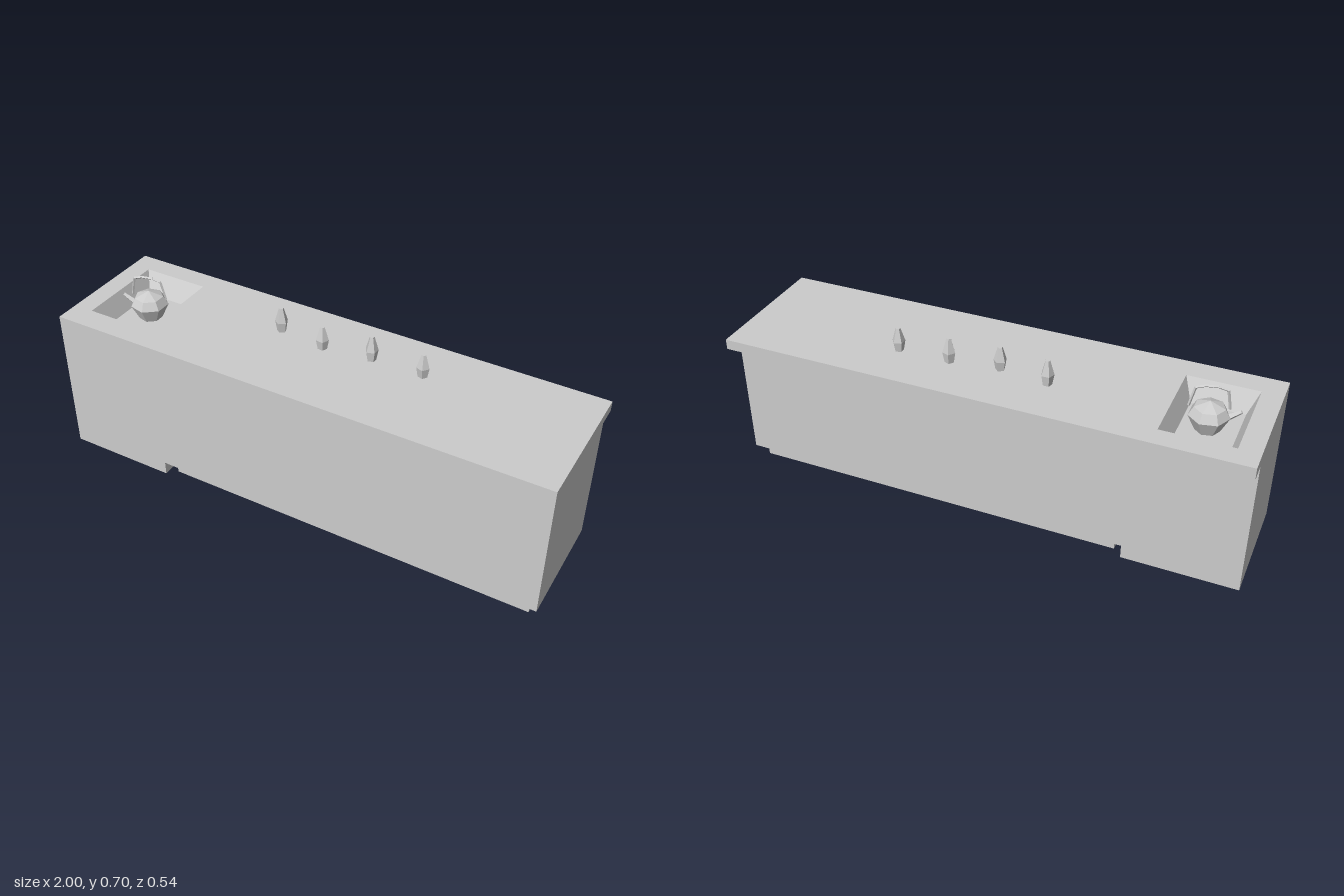
import * as THREE from 'three';

const material = new THREE.MeshStandardMaterial({ color: 0xcccccc, flatShading: true, side: THREE.DoubleSide });

function add(parent, geometry, name) {
  const mesh = new THREE.Mesh(geometry, material);
  mesh.name = name;
  parent.add(mesh);
  return mesh;
}

// Skin through a stack of rectangles [x0, x1, z0, z1, y], open at both ends
function rectLoft(rects) {
  const rings = rects.map(([x0, x1, z0, z1, y]) => [[x0, y, z1], [x1, y, z1], [x1, y, z0], [x0, y, z0]]);
  const pos = [];
  for (let i = 0; i < rings.length - 1; i++) {
    for (let k = 0; k < 4; k++) {
      const n = (k + 1) % 4;
      const a = rings[i][k], b = rings[i][n], c = rings[i + 1][n], d = rings[i + 1][k];
      pos.push(...a, ...b, ...c, ...a, ...c, ...d);
    }
  }
  const g = new THREE.BufferGeometry();
  g.setAttribute('position', new THREE.Float32BufferAttribute(pos, 3));
  g.computeVertexNormals();
  return g;
}

// Square-section bar between two points
function bar(a, b, r0, r1) {
  const dir = b.clone().sub(a);
  const g = new THREE.CylinderGeometry(r1, r0, dir.length(), 4);
  g.applyQuaternion(new THREE.Quaternion().setFromUnitVectors(new THREE.Vector3(0, 1, 0), dir.clone().normalize()));
  g.translate((a.x + b.x) / 2, (a.y + b.y) / 2, (a.z + b.z) / 2);
  return g;
}

const lathe = (points, sides) => new THREE.LatheGeometry(points.map(([r, y]) => new THREE.Vector2(r, y)), sides);

function makeTeapot() {
  const pot = new THREE.Group();
  pot.name = 'teapot';
  add(pot, lathe([[0, 0], [0.045, 0], [0.074, 0.06], [0.056, 0.093], [0, 0.116]], 7), 'teapotBody');
  // Arched carrying handle
  const arch = [[-0.068, 0.09], [-0.055, 0.164], [-0.022, 0.174], [0.022, 0.174], [0.055, 0.164], [0.072, 0.09]]
    .map(([x, y]) => new THREE.Vector3(x, y, 0));
  for (let i = 0; i < arch.length - 1; i++) add(pot, bar(arch[i], arch[i + 1], 0.005, 0.005), 'teapotHandle');
  add(pot, bar(new THREE.Vector3(-0.05, 0.045, 0), new THREE.Vector3(-0.108, 0.083, 0), 0.014, 0.007), 'teapotSpout');
  pot.rotation.y = 0.22;
  pot.position.set(-0.78, 0.521, -0.005);
  return pot;
}

export function createModel() {
  const model = new THREE.Group();

  // Hollow cabinets, open underneath; the wide one stands on a recessed plinth
  const wide = [-0.56, 1, -0.187, 0.27];
  const plinth = [-0.525, 0.965, -0.152, 0.236];
  add(model, rectLoft([[...plinth, 0], [...plinth, 0.055], [...wide, 0.055], [...wide, 0.57]]), 'cabinetWithPlinth');
  const end = [-1, -0.56, -0.187, 0.27];
  add(model, rectLoft([[...end, 0], [...end, 0.57]]), 'endCabinet');

  // Worktop with basin cutout; shape y becomes -z
  const top = new THREE.Shape([[-1, -0.27], [1, -0.27], [1, 0.267], [-1, 0.267]].map(p => new THREE.Vector2(...p)));
  top.holes.push(new THREE.Path([[-0.92, -0.175], [-0.92, 0.185], [-0.65, 0.185], [-0.65, -0.175]].map(p => new THREE.Vector2(...p))));
  const slab = new THREE.ExtrudeGeometry(top, { depth: 0.04, bevelEnabled: false });
  slab.rotateX(-Math.PI / 2);
  slab.translate(0, 0.56, 0);
  add(model, slab, 'worktop');
  const lip = new THREE.BoxGeometry(0.44, 0.007, 0.08);
  lip.translate(-0.78, 0.5565, -0.227);
  add(model, lip, 'worktopLip');

  // Tapered basin, closed at the floor
  add(model, rectLoft([
    [-0.785, -0.785, 0, 0, 0.52],
    [-0.865 - 0.02, -0.685, -0.135, 0.13, 0.52],
    [-0.92, -0.65, -0.185, 0.175, 0.6],
  ]), 'basin');
  model.add(makeTeapot());

  // Five-sided bottles: x, z, height, turn
  [[-0.215, -0.075, 0.098, 0], [-0.025, -0.05, 0.092, 0.5], [0.165, -0.075, 0.098, 0.9], [0.37, -0.075, 0.092, 0.3]]
    .forEach(([x, z, h, turn]) => {
      const bottle = add(model, lathe([[0, 0], [0.018, 0], [0.025, h * 0.42], [0.009, h], [0, h]], 5), 'bottle');
      bottle.position.set(x, 0.6, z);
      bottle.rotation.y = turn;
    });

  return model;
}
